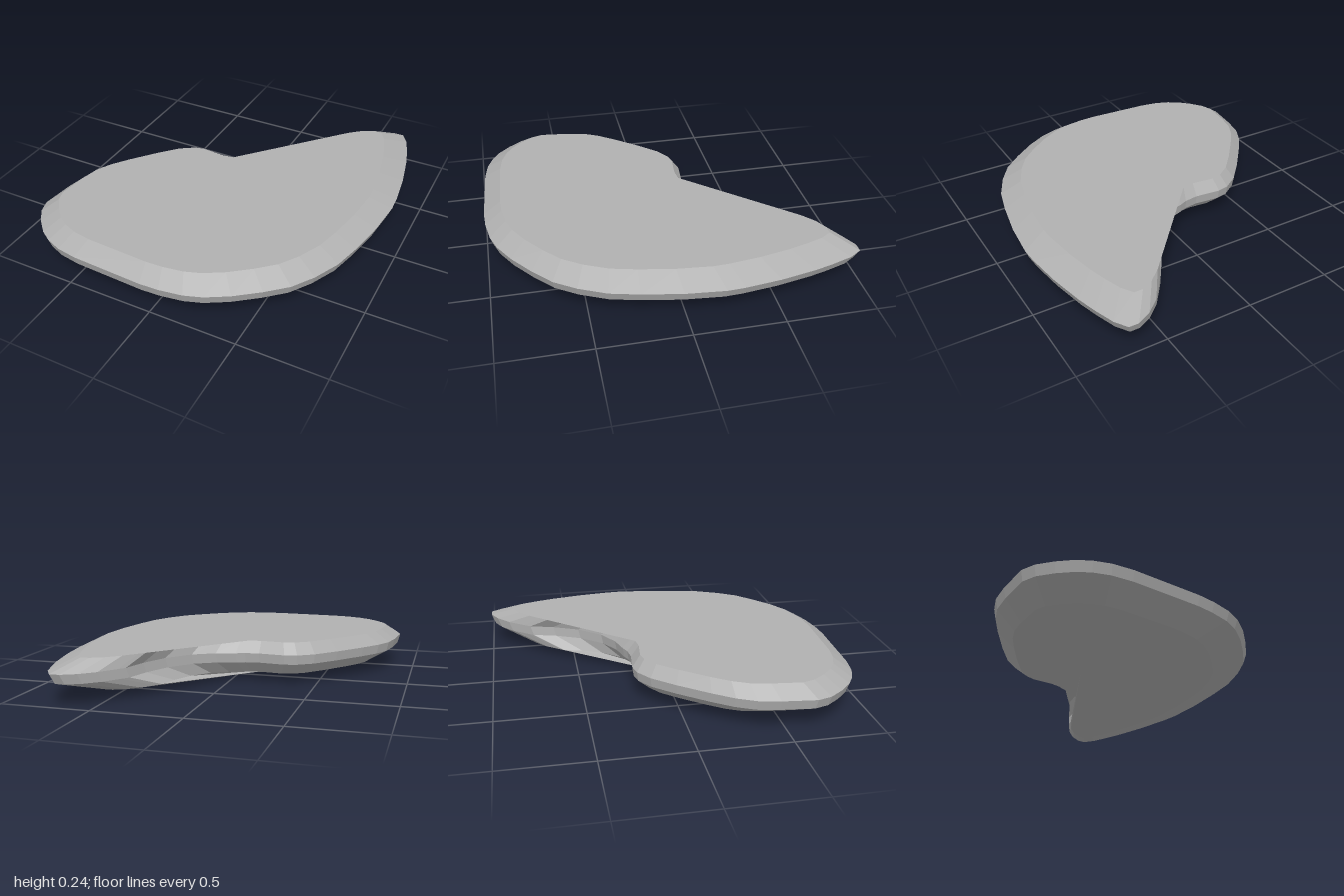
import * as THREE from 'three';

// Plan outline as x, z pairs, counter-clockwise from above, starting at the notch
const OUTLINE = [
  -0.10, -0.22, -0.18, -0.21, -0.33, -0.225, -0.40, -0.21, -0.49, -0.15, -0.60, -0.03,
  -0.73, 0.13, -0.81, 0.24, -0.86, 0.34, -0.885, 0.46, -0.905, 0.65, -0.88, 0.73,
  -0.82, 0.81, -0.75, 0.88, -0.68, 0.925, -0.59, 0.96, -0.47, 0.98, -0.05, 1.0,
  0.06, 0.995, 0.19, 0.975, 0.29, 0.94, 0.41, 0.87, 0.54, 0.77, 0.65, 0.67,
  0.73, 0.55, 0.80, 0.40, 0.84, 0.24, 0.88, 0.02, 0.90, -0.20, 0.895, -0.30,
  0.87, -0.50, 0.83, -0.70, 0.80, -0.81, 0.76, -0.93, 0.715, -1.0, 0.66, -1.0,
  0.58, -0.96, 0.50, -0.89, 0.43, -0.80, 0.40, -0.76, 0.36, -0.62, 0.29, -0.47,
  0.18, -0.34, 0.06, -0.27, -0.05, -0.24,
];
const NOTCH_POINTS = 7; // last points, which the flat top spans with a straight edge
const CENTRE = [-0.19, 0.17];

// One cross-section: the outline scaled about the centre at a given height
function ring(scale, y) {
  const points = [];
  for (let i = 0; i < OUTLINE.length; i += 2) {
    points.push([
      CENTRE[0] + (OUTLINE[i] - CENTRE[0]) * scale,
      y,
      CENTRE[1] + (OUTLINE[i + 1] - CENTRE[1]) * scale,
    ]);
  }
  return points;
}

function buildMesh(name, triangles, material) {
  const geometry = new THREE.BufferGeometry();
  geometry.setAttribute('position', new THREE.Float32BufferAttribute(triangles.flat(), 3));
  geometry.computeVertexNormals();
  const mesh = new THREE.Mesh(geometry, material);
  mesh.name = name;
  return mesh;
}

// Triangles joining a ring to a single point
function fan(points, tip, faceUp) {
  return points.flatMap((a, i) => {
    const b = points[(i + 1) % points.length];
    return faceUp ? [tip, a, b] : [tip, b, a];
  });
}

export function createModel() {
  const group = new THREE.Group();
  group.name = 'flatStone';
  const stone = new THREE.MeshStandardMaterial({
    name: 'stone grey', color: 0xb0b0b0, flatShading: true, side: THREE.DoubleSide,
  });

  const rings = [ring(0.79, 0.05), ring(0.98, 0.12), ring(1, 0.175), ring(0.88, 0.24)];

  // Bevelled rim, one band per pair of cross-sections
  const rim = [];
  for (let r = 0; r < rings.length - 1; r++) {
    const low = rings[r], high = rings[r + 1];
    low.forEach((a, i) => {
      const j = (i + 1) % low.length;
      rim.push(a, low[j], high[j], a, high[j], high[i]);
    });
  }
  group.add(buildMesh('rim', rim, stone));

  // Flat top, bridging the notch
  const topEdge = rings[3].slice(0, -NOTCH_POINTS);
  group.add(buildMesh('flatTop', fan(topEdge, [CENTRE[0], 0.24, CENTRE[1]], true), stone));

  // Shallow pointed underside
  group.add(buildMesh('underside', fan(rings[0], [CENTRE[0], 0, CENTRE[1]], false), stone));

  return group;
}
